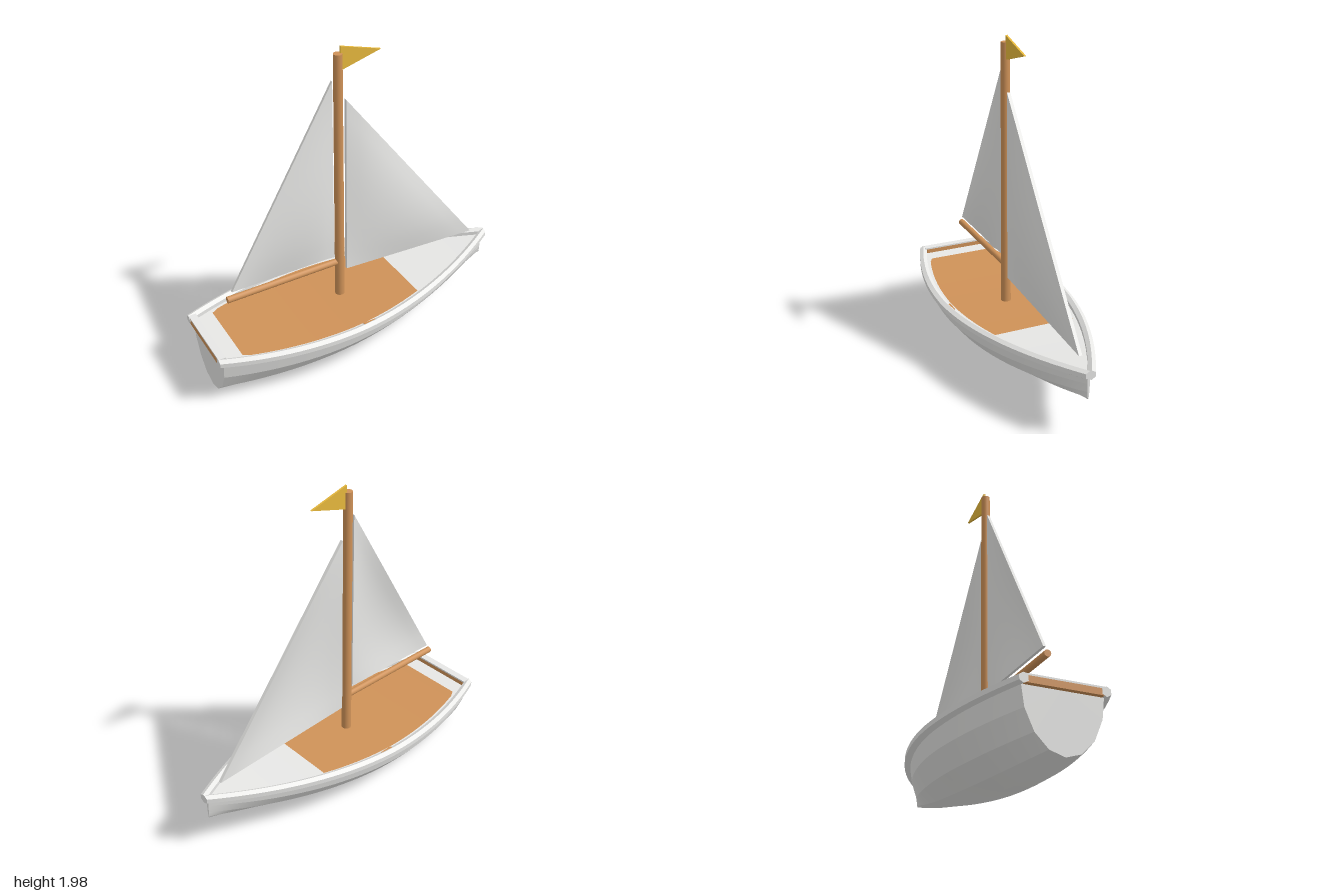
import * as THREE from 'three';
import { mergeGeometries } from 'three/addons/utils/BufferGeometryUtils.js';

const mat = (name, color) => {
  const m = new THREE.MeshStandardMaterial({ color });
  m.name = name;
  return m;
};

// Plan half-width of the boat (outside of the rail) and height of the rail line
const beam = (x) => x < -0.2
  ? 0.4 - 0.155 * ((-0.2 - x) / 0.8) ** 2
  : 0.4 - 0.37 * ((x + 0.2) / 1.2) ** 1.85;
const sheer = (x) => 0.338 + 0.032 * (x + 0.45) ** 2;
const keel = (x) => 0.25 * Math.max(0, (x + 0.97) / 1.95) ** 2.3;

const range = (a, b, n) => Array.from({ length: n + 1 }, (_, i) => a + ((b - a) * i) / n);

// Surface through rows of points
function grid(rows) {
  const w = rows[0].length, index = [];
  for (let i = 0; i < rows.length - 1; i++)
    for (let j = 0; j < w - 1; j++) {
      const p = i * w + j, q = p + w;
      index.push(p, q, q + 1, p, q + 1, p + 1);
    }
  const g = new THREE.BufferGeometry();
  g.setAttribute('position', new THREE.Float32BufferAttribute(rows.flat(2), 3));
  g.setIndex(index);
  g.computeVertexNormals();
  return g;
}

// Loft with hard edges along its length and flat ends
function loft(rows, centres) {
  const parts = [];
  for (let j = 0; j < rows[0].length - 1; j++) parts.push(grid(rows.map((r) => [r[j], r[j + 1]])));
  if (centres) {
    const first = rows[0], last = rows[rows.length - 1];
    parts.push(grid([first.map(() => centres[0]), first]), grid([last, last.map(() => centres[1])]));
  }
  return mergeGeometries(parts);
}

// Triangular sail (corners counter-clockwise from the front) that bellies towards +z
function sailGeometry(A, B, C, belly, thick) {
  const n = 12, pos = [], front = [], back = [];
  const id = (i, j) => (i * (i + 1)) / 2 + j;
  for (let i = 0; i <= n; i++)
    for (let j = 0; j <= i; j++) {
      const a = 1 - i / n, b = (i - j) / n, c = j / n;
      pos.push(a * A[0] + b * B[0] + c * C[0], a * A[1] + b * B[1] + c * C[1], 27 * a * b * c * belly);
    }
  for (let i = 0; i < n; i++)
    for (let j = 0; j <= i; j++) {
      front.push(id(i, j), id(i + 1, j), id(i + 1, j + 1));
      if (j < i) front.push(id(i, j), id(i + 1, j + 1), id(i, j + 1));
    }
  for (let k = 0; k < front.length; k += 3) back.push(front[k], front[k + 2], front[k + 1]);
  const side = (index, dz) => {
    const g = new THREE.BufferGeometry();
    g.setAttribute('position', new THREE.Float32BufferAttribute(pos, 3));
    g.setIndex(index);
    g.translate(0, 0, dz);
    g.computeVertexNormals();
    return g;
  };
  const h = thick / 2;
  const edges = [[A, B], [B, C], [C, A]].map(([p, q]) =>
    grid([[[...p, h], [...q, h]], [[...p, -h], [...q, -h]]]));
  return mergeGeometries([side(front, h), side(back, -h), ...edges]);
}

export function createModel() {
  const boat = new THREE.Group();
  boat.name = 'sailboat';
  const white = mat('white', 0xeeeeec);
  const wood = mat('wood', 0xcf9258);
  const yellow = mat('yellow', 0xf0c040);

  const add = (name, geometry, material, x = 0, y = 0, z = 0) => {
    const m = new THREE.Mesh(geometry, material);
    m.name = name;
    m.position.set(x, y, z);
    boat.add(m);
    return m;
  };

  // Hull: half-ellipse sections from transom to stem
  const half = (x) => Math.max(0.004, beam(x) - 0.033);
  const hullRows = range(-0.97, 0.98, 28).map((x) => range(0, Math.PI, 8).map((t) =>
    [x, sheer(x) - (sheer(x) - keel(x)) * Math.sin(t), -half(x) * Math.cos(t)]));
  add('hull', loft(hullRows, [[-0.97, sheer(-0.97), 0], [0.98, sheer(0.98), 0]]), white);

  // Deck and the wooden planking laid on it
  const deckRows = (a, b, lift, width) => range(a, b, 28).map((x) =>
    [[x, sheer(x) + lift, width(x)], [x, sheer(x) + lift, -width(x)]]);
  add('deck', grid(deckRows(-0.97, 0.98, -0.01, half)), white);
  add('planking', grid(deckRows(-0.85, 0.32, -0.004,
    (x) => beam(x) - 0.073 - 0.012 * Math.max(0, (-0.83 - x) / 0.02))), wood);

  // Six-sided rails along both sides
  const r = 0.028;
  for (const s of [1, -1]) {
    const centre = (x) => [x, sheer(x), s * (beam(x) - 0.025)];
    const rows = range(-1, 1, 32).map((x) => range(0, 6, 6).map((k) => {
      const t = Math.PI / 6 + (k * Math.PI) / 3, c = centre(x);
      return [x, c[1] + r * Math.sin(t), c[2] + r * Math.cos(t)];
    }));
    add(s > 0 ? 'leftRail' : 'rightRail', loft(rows, [centre(-1), centre(1)]), white);
    // Wooden thwart end showing through the rail
    add('thwartEnd', new THREE.BoxGeometry(0.08, 0.03, 0.024), wood, -0.09, 0.35, s * 0.362);
  }

  // Stern crossbar with a white cap
  add('sternBar', new THREE.BoxGeometry(0.046, 0.036, 0.42), wood, -0.975, 0.345, 0);
  add('sternCap', new THREE.BoxGeometry(0.046, 0.01, 0.44), white, -0.975, 0.368, 0);

  // Mast and boom
  add('mast', new THREE.CylinderGeometry(0.026, 0.03, 1.61, 16), wood, -0.09, 1.135, 0);
  add('boom', new THREE.CylinderGeometry(0.02, 0.02, 0.74, 12), wood, -0.46, 0.58, 0).rotation.z = Math.PI / 2;

  // Sails
  add('mainSail', sailGeometry([-0.13, 1.79], [-0.8, 0.63], [-0.13, 0.63], 0.036, 0.016), white);
  add('jib', sailGeometry([-0.045, 1.66], [-0.045, 0.51], [0.885, 0.46], 0.036, 0.02), white);

  // Pennant at the masthead
  add('flag', sailGeometry([-0.075, 1.98], [-0.075, 1.84], [0.175, 1.91], 0, 0.012), yellow);

  return boat;
}
